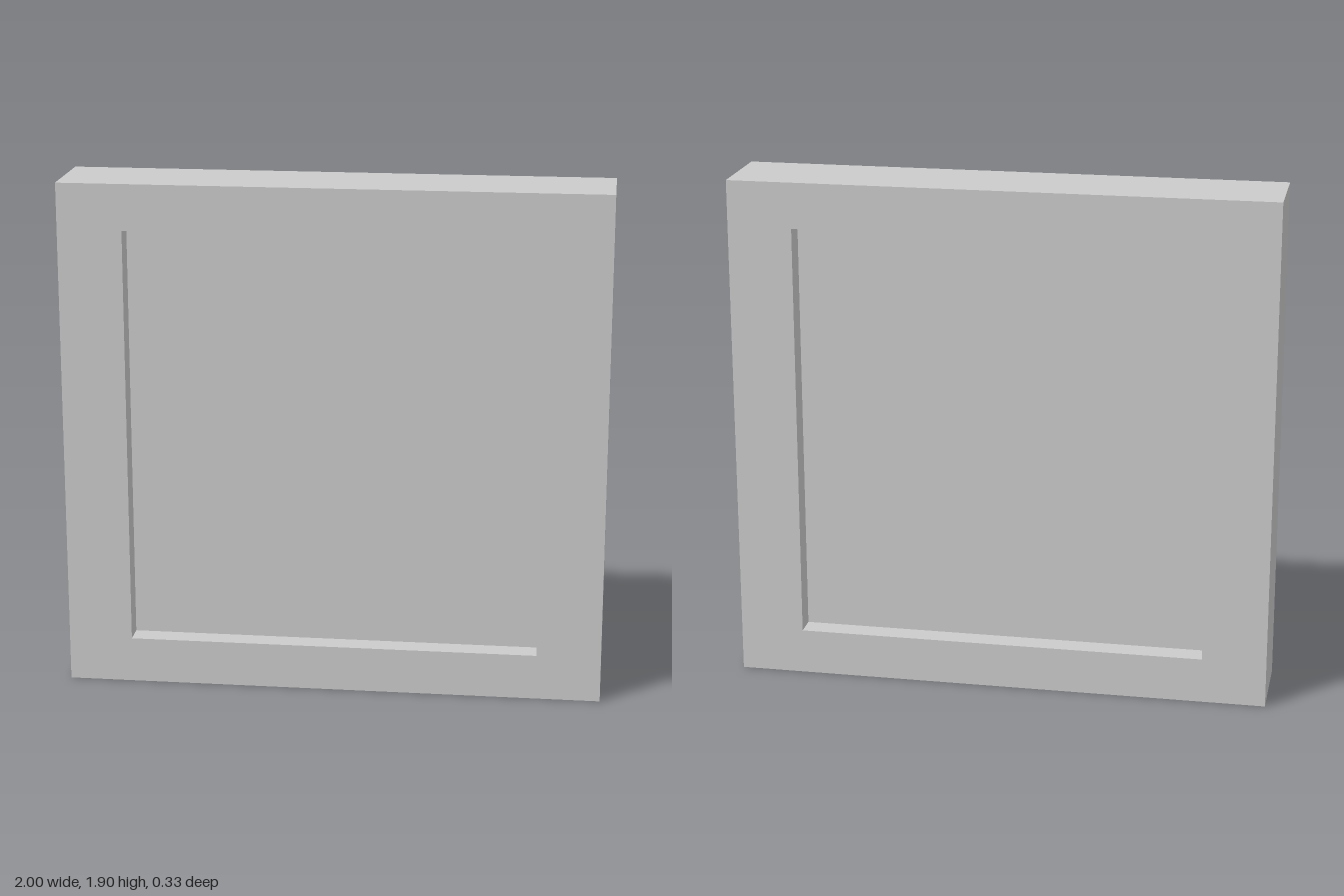
import * as THREE from 'three';

const WIDTH = 2, HEIGHT = 1.905, DEPTH = 0.33;
const OPEN_X = 0.762, OPEN_BOTTOM = 0.17, OPEN_TOP = 1.735;
const PANEL_DEPTH = 0.16;

// Traces a rectangle on a shape or hole path
function rect(path, x0, y0, x1, y1) {
  path.moveTo(x0, y0);
  path.lineTo(x1, y0);
  path.lineTo(x1, y1);
  path.lineTo(x0, y1);
  path.closePath();
  return path;
}

export function createModel() {
  const group = new THREE.Group();
  group.name = 'framedPanel';
  const material = new THREE.MeshStandardMaterial({ color: 0xcccccc });

  // Thick square-edged frame with a rectangular opening
  const outline = rect(new THREE.Shape(), -WIDTH / 2, 0, WIDTH / 2, HEIGHT);
  outline.holes.push(rect(new THREE.Path(), -OPEN_X, OPEN_BOTTOM, OPEN_X, OPEN_TOP));
  const frameGeometry = new THREE.ExtrudeGeometry(outline, { depth: DEPTH, bevelEnabled: false });
  frameGeometry.translate(0, 0, -DEPTH / 2);
  const frame = new THREE.Mesh(frameGeometry, material);
  frame.name = 'frame';
  group.add(frame);

  // Flat panel filling the opening, recessed equally on front and back
  const panel = new THREE.Mesh(
    new THREE.BoxGeometry(OPEN_X * 2, OPEN_TOP - OPEN_BOTTOM, PANEL_DEPTH), material);
  panel.position.y = (OPEN_TOP + OPEN_BOTTOM) / 2;
  panel.name = 'panel';
  group.add(panel);

  return group;
}
